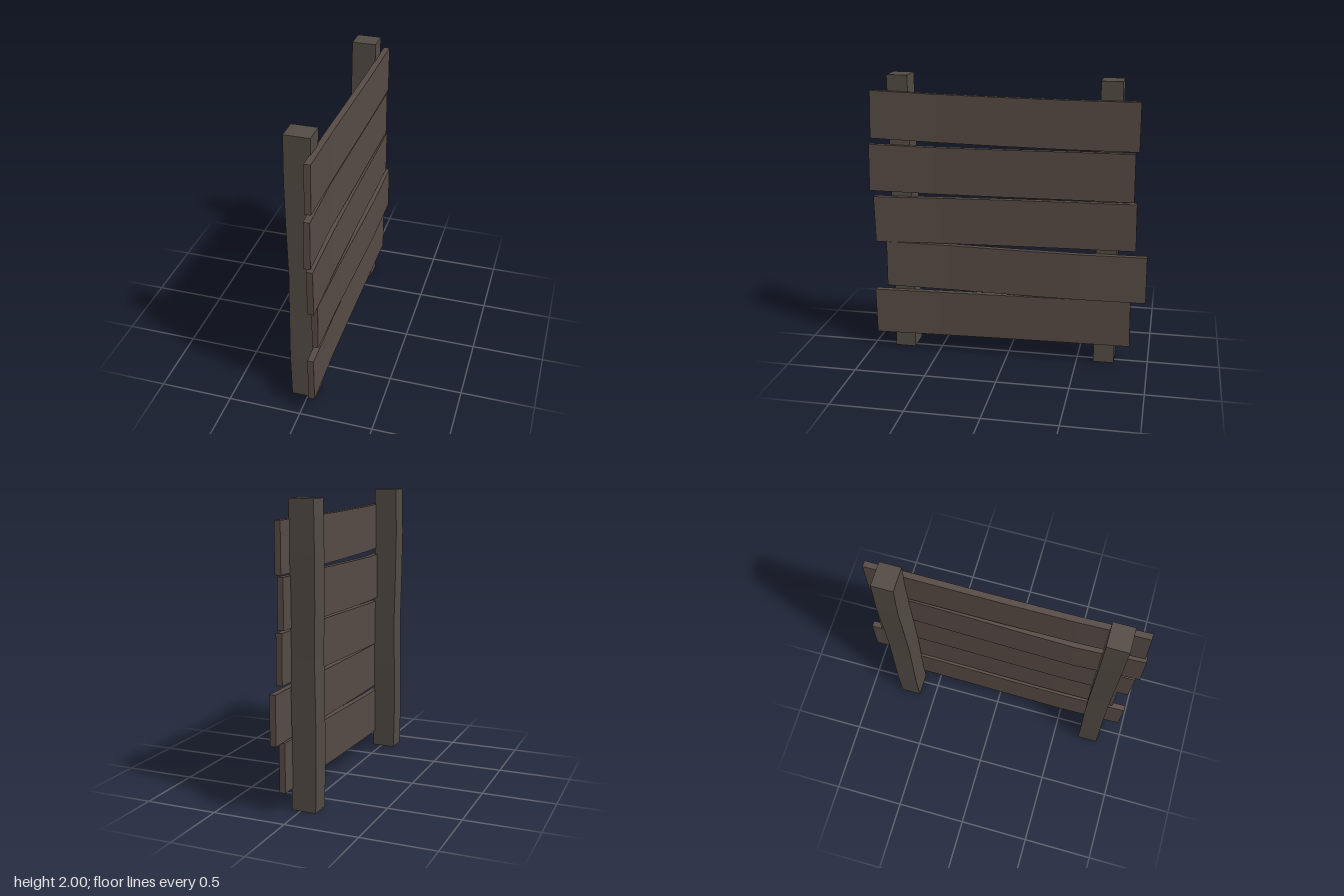
import * as THREE from 'three';

const plankWood = new THREE.MeshStandardMaterial({ color: 0x574b45 });
plankWood.name = 'plank wood';
const postWood = new THREE.MeshStandardMaterial({ color: 0x534b44 });
postWood.name = 'post wood';

// Board along z whose cross-sections follow small x and y offsets listed from back (-z) to front (+z)
function makePlank({ z, dx, y, zMid = (z[0] + z[1]) / 2 }) {
  const n = y.length - 1, length = z[1] - z[0];
  const geo = new THREE.BoxGeometry(0.042, 0.33, length, 1, 1, n);
  const p = geo.attributes.position;
  for (let i = 0; i < p.count; i++) {
    const k = Math.round((p.getZ(i) / length + 0.5) * n);
    const a = Math.max(k - 1, 0), b = Math.min(k + 1, n);
    const slope = (y[b] - y[a]) / ((b - a) * length / n);
    const h = p.getY(i);
    p.setXYZ(i, p.getX(i) + dx[k], h + y[k], p.getZ(i) + zMid - slope * h);
  }
  const flat = geo.toNonIndexed();
  flat.computeVertexNormals();
  return new THREE.Mesh(flat, plankWood);
}

// Upright with slightly wandering cross-sections, offsets listed from bottom to top
function makePost(zMid, bottom, top, dx, dz) {
  const n = dx.length - 1, height = top - bottom;
  const geo = new THREE.BoxGeometry(0.168, height, 0.145, 1, n, 1);
  const p = geo.attributes.position;
  for (let i = 0; i < p.count; i++) {
    const k = Math.round((p.getY(i) / height + 0.5) * n);
    p.setXYZ(i, p.getX(i) - 0.024 + dx[k], p.getY(i) + (bottom + top) / 2, p.getZ(i) + zMid + dz[k]);
  }
  const flat = geo.toNonIndexed();
  flat.computeVertexNormals();
  return new THREE.Mesh(flat, postWood);
}

export function createModel() {
  const group = new THREE.Group();

  // Two uprights
  const sway = [0, -0.006, -0.003, 0.003, -0.003, -0.006, 0];
  const front = makePost(0.762, 0.008, 2, sway, [0, -0.003, -0.008, -0.008, -0.005, -0.002, 0]);
  front.name = 'frontPost';
  const back = makePost(-0.692, 0, 1.995, sway, [0, 0, 0.003, 0.004, 0.002, -0.004, 0]);
  back.name = 'backPost';
  group.add(front, back);

  // Five warped boards, top to bottom
  const planks = [
    { z: [-0.888, 0.952], y: [1.705, 1.704, 1.708, 1.716, 1.73], dx: [0.075, 0.074, 0.07, 0.068, 0.074] },
    { z: [-0.865, 0.975], y: [1.36, 1.356, 1.35, 1.346, 1.355], dx: [0.073, 0.066, 0.058, 0.051, 0.07] },
    { z: [-0.888, 0.948], y: [1.018, 1.012, 1.003, 0.992, 0.982], dx: [0.075, 0.073, 0.069, 0.067, 0.074] },
    { z: [-0.97, 0.87], y: [0.65, 0.647, 0.648, 0.652, 0.655], dx: [0.083, 0.088, 0.081, 0.073, 0.075] },
    { z: [-0.87, 0.964], y: [0.315, 0.309, 0.3, 0.291, 0.285], dx: [0.073, 0.07, 0.066, 0.064, 0.073] },
  ];
  planks.forEach((spec, i) => {
    const plank = makePlank(spec);
    plank.name = `plank${i + 1}`;
    group.add(plank);
  });
  return group;
}
